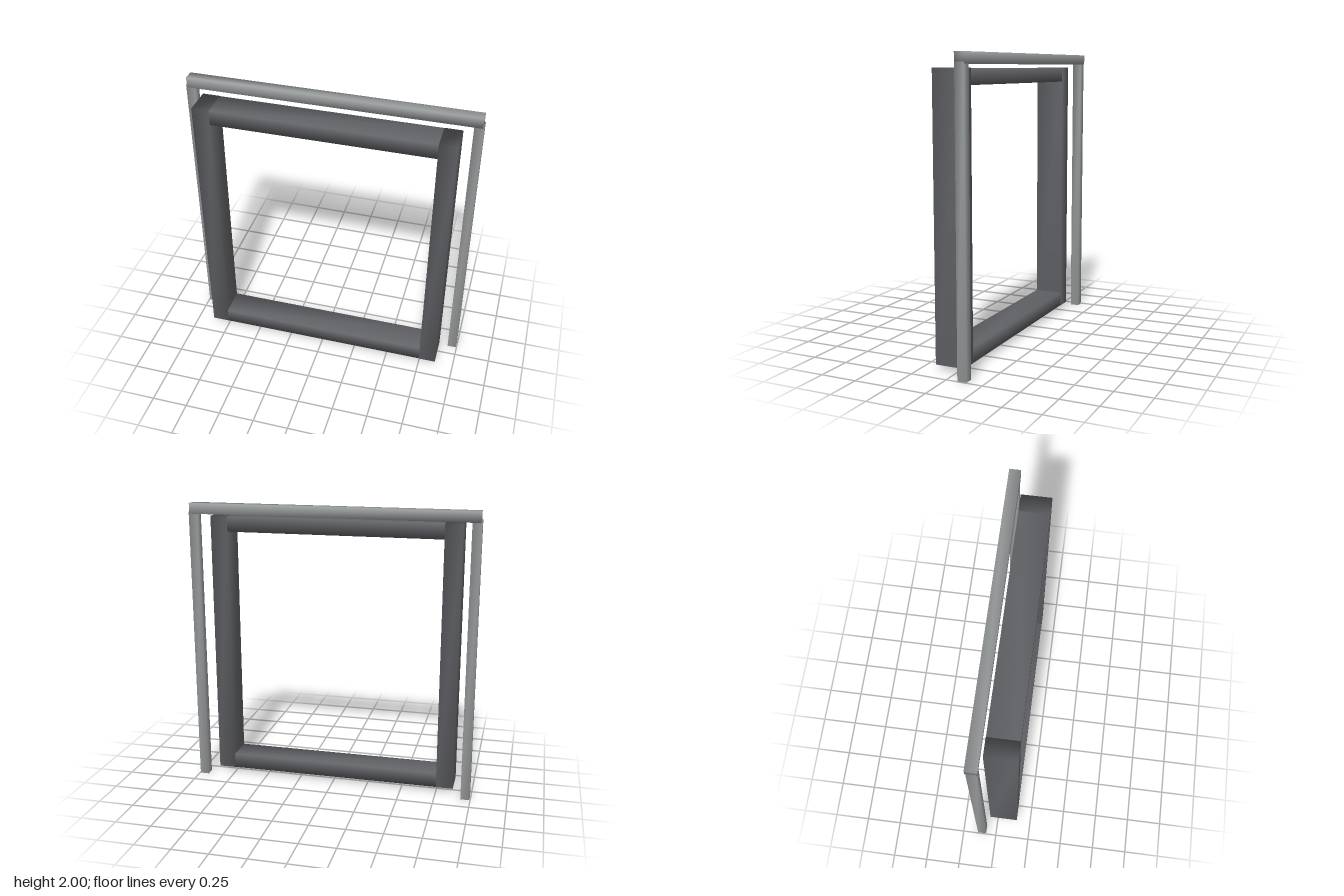
import * as THREE from 'three';
import { mergeVertices } from 'three/addons/utils/BufferGeometryUtils.js';

// Bar between two corners, with shading blended softly over its shared corners
function bar(name, min, max, material) {
  let geo = new THREE.BoxGeometry(max[0] - min[0], max[1] - min[1], max[2] - min[2]);
  geo.deleteAttribute('normal');
  geo.deleteAttribute('uv');
  geo = mergeVertices(geo);
  geo.computeVertexNormals();
  const mesh = new THREE.Mesh(geo, material);
  mesh.name = name;
  mesh.position.set(...min.map((v, i) => (v + max[i]) / 2));
  return mesh;
}

export function createModel() {
  const model = new THREE.Group();
  model.name = 'doubleFrame';
  const dark = new THREE.MeshStandardMaterial({ color: 0x626367 });
  const light = new THREE.MeshStandardMaterial({ color: 0x999c9d });

  // Heavy closed frame at the front
  const frame = new THREE.Group();
  frame.name = 'innerFrame';
  // Slim open surround behind it
  const surround = new THREE.Group();
  surround.name = 'outerSurround';
  model.add(frame, surround);

  for (const [side, s] of [['left', 1], ['right', -1]]) {
    const span = (a, b) => (s > 0 ? [a, b] : [-b, -a]);
    const [f0, f1] = span(0.75, 0.87);
    frame.add(bar(side + 'FramePost', [f0, 0.035, -0.058], [f1, 1.905, 0.147], dark));
    const [p0, p1] = span(0.932, 0.995);
    surround.add(bar(side + 'SurroundPost', [p0, 0, -0.139], [p1, 1.94, -0.076], light));
  }

  // Rails run through the posts, a hair inside their faces
  const e = 0.001;
  for (const [name, y0, y1] of [['bottomRail', 0.035 + e, 0.14], ['topRail', 1.8, 1.905 - e]])
    frame.add(bar(name, [-0.87 + e, y0, -0.058 + e], [0.87 - e, y1, 0.147 - e], dark));

  // Lintel resting on the slim posts
  surround.add(bar('lintel', [-0.988, 1.928, -0.147], [0.988, 2, -0.071], light));
  return model;
}
